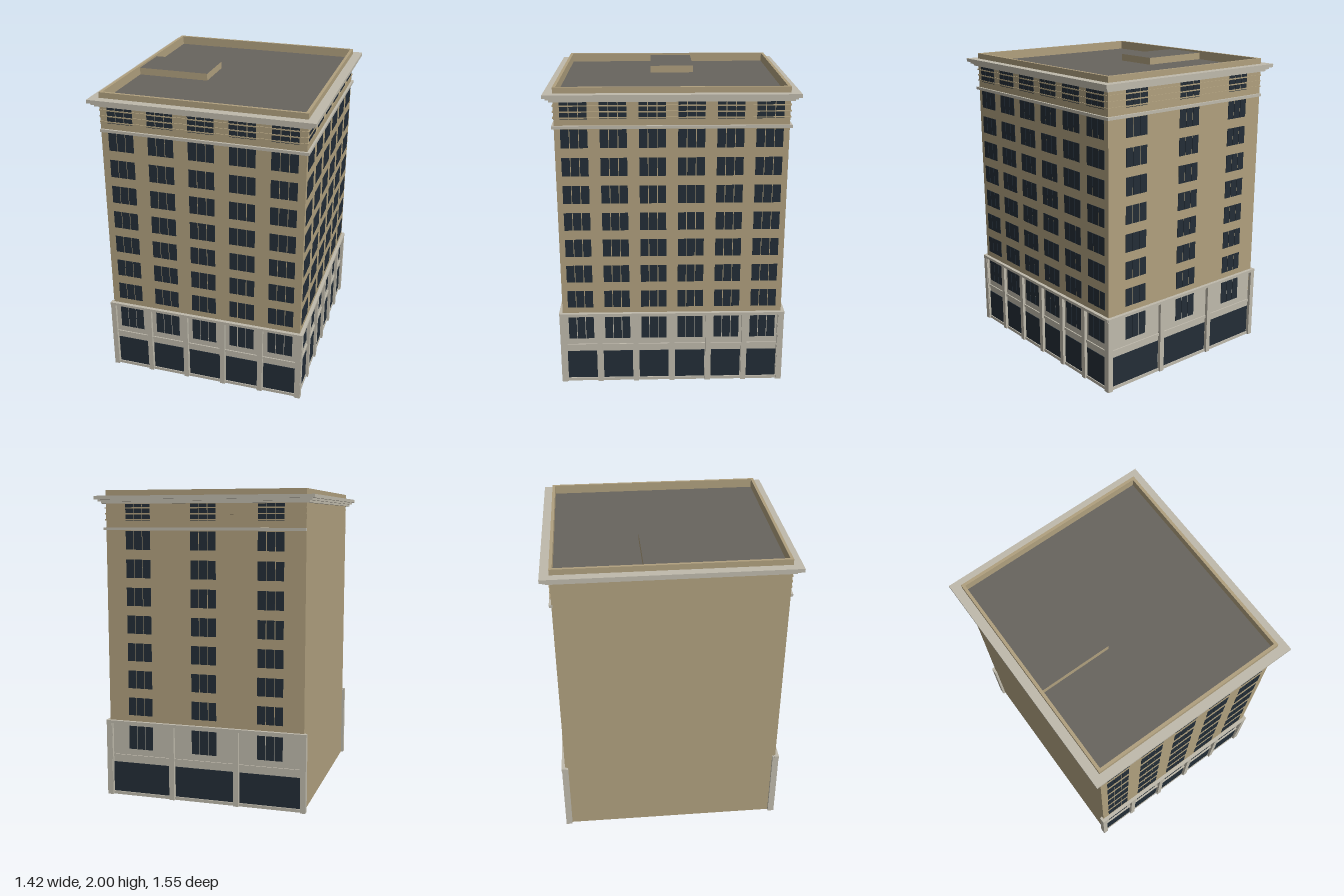
import * as THREE from 'three';
import { mergeGeometries } from 'three/addons/utils/BufferGeometryUtils.js';

const material = (name, color) => {
  const m = new THREE.MeshStandardMaterial({ color });
  m.name = name;
  return m;
};

const HX = 0.653, HZ = 0.719; // half sizes of the tower

export function createModel() {
  const brick = material('tan brick', 0xb0a07e);
  const stone = material('pale stone', 0xbfbaac);
  const glass = material('dark glass', 0x232d37);
  const roofing = material('grey roofing', 0x68645e);

  const building = new THREE.Group();
  building.name = 'building';

  const add = (parent, name, geometry, mat) => {
    const mesh = new THREE.Mesh(geometry, mat);
    mesh.name = name;
    parent.add(mesh);
    return mesh;
  };

  // box given by its limits
  const box = (x0, x1, y0, y1, z0, z1) =>
    new THREE.BoxGeometry(x1 - x0, y1 - y0, z1 - z0)
      .translate((x0 + x1) / 2, (y0 + y1) / 2, (z0 + z1) / 2);

  // rectangular ring; out and inn are offsets from the tower outline
  const ring = (out, inn, y0, y1) => {
    const corners = (o) => [[-1, -1], [1, -1], [1, 1], [-1, 1]]
      .map(([a, b]) => new THREE.Vector2(a * (HX + o), b * (HZ + o)));
    const shape = new THREE.Shape(corners(out));
    shape.holes.push(new THREE.Path(corners(inn).reverse()));
    return new THREE.ExtrudeGeometry(shape, { depth: y1 - y0, bevelEnabled: false })
      .rotateX(-Math.PI / 2).translate(0, y0, 0);
  };

  // tower shell with parapet, blank left wall at street level
  add(building, 'towerWalls', ring(0, -0.019, 0.5, 2), brick);
  add(building, 'blankWallBase', box(-HX, -HX + 0.019, 0, 0.5, -HZ, HZ), brick);

  // stepped cornice
  add(building, 'cornice', mergeGeometries([
    ring(0.024, -0.005, 1.915, 1.929),
    ring(0.04, -0.005, 1.929, 1.942),
    ring(0.058, -0.005, 1.942, 1.964),
  ]), stone);

  // roof deck and shaft rising through it
  add(building, 'roofDeck', box(-HX + 0.01, HX - 0.01, 1.925, 1.942, -HZ + 0.01, HZ - 0.01), roofing);
  add(building, 'roofShaft', box(-0.634, -0.159, 0.52, 1.988, -0.167, 0.128),
    [brick, brick, roofing, roofing, brick, brick]);

  // one street side: x runs along the wall, z = 0 is the wall plane
  const side = (name, length, distance, bays, angle, wrap) => {
    const group = new THREE.Group();
    group.name = name;
    const half = length / 2, bay = length / bays;
    const band = (y0, y1, out) =>
      box(-half - wrap * out, half + wrap * out, y0, y1, -0.008, out);
    const piers = [], panes = [], shopfronts = [], rails = [];

    for (let i = 0; i <= bays; i++) {
      const x = -half + i * bay;
      piers.push(box(x - 0.017, x + 0.017, 0, 0.5, -0.021, 0.021));
    }
    for (let i = 0; i < bays; i++) {
      const x = -half + (i + 0.5) * bay, w = bay / 2 - 0.017;
      shopfronts.push(box(x - w + 0.005, x + w - 0.005, 0.022, 0.222, -0.002, 0.004));
      rails.push(box(x - w, x + w, 0.257, 0.275, -0.002, 0.008));
      rails.push(box(x - w, x + w, 0, 0.02, -0.002, 0.008));
      // triple windows: base, seven storeys, attic
      const rows = [[0.317, 0.472], [1.806, 1.912]];
      for (let f = 0; f < 7; f++) rows.push([0.545 + f * 0.18, 0.662 + f * 0.18]);
      for (const [y0, y1] of rows)
        for (const k of [-1, 0, 1]) {
          const c = x + k * 0.0568;
          panes.push(box(c - 0.026, c + 0.026, y0, y1, -0.002, 0.003));
        }
    }

    add(group, 'baseWall', box(-half + 0.012, half - 0.012, 0, 0.5, -0.012, 0), stone);
    add(group, 'piers', mergeGeometries(piers), stone);
    add(group, 'baseRails', mergeGeometries(rails), stone);
    add(group, 'baseCap', box(-half - 0.018, half + 0.018, 0.487, 0.505, -0.01, 0.023), stone);
    add(group, 'beltCourse', band(1.748, 1.766, 0.015), stone);
    add(group, 'atticBands', mergeGeometries(
      [1.814, 1.851, 1.888].map((y) => band(y - 0.004, y + 0.004, 0.006))), brick);
    add(group, 'shopfronts', mergeGeometries(shopfronts), glass);
    add(group, 'windows', mergeGeometries(panes), glass);

    group.rotation.y = angle;
    group.position.set(Math.sin(angle) * distance, 0, Math.cos(angle) * distance);
    building.add(group);
  };

  side('frontSide', 2 * HX, HZ, 5, 0, 0);
  side('rightSide', 2 * HZ, HX, 6, Math.PI / 2, 1);
  side('backSide', 2 * HX, HZ, 3, Math.PI, 0);

  return building;
}
